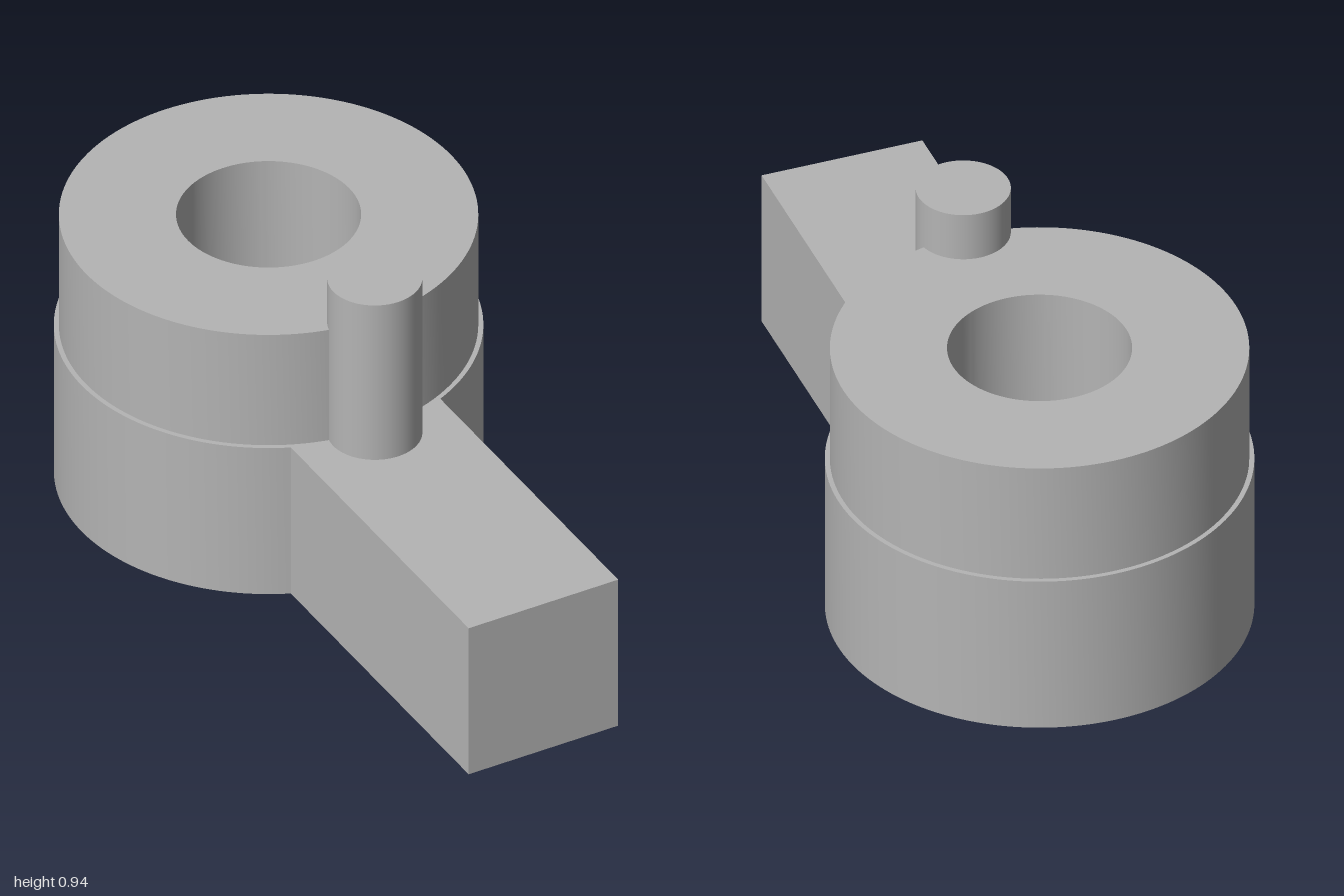
import * as THREE from 'three';
import { toCreasedNormals } from 'three/addons/utils/BufferGeometryUtils.js';

const R_BASE = 0.55, R_COLLAR = 0.537, R_BORE = 0.237;
const ARM_HALF = 0.22, ARM_REACH = 1.429;
const BASE_TOP = 0.457, COLLAR_TOP = 0.802, PIN_TOP = 0.94;

export function createModel() {
  const grey = new THREE.MeshStandardMaterial({ color: 0xb4b4b4 });
  grey.name = 'grey';

  const model = new THREE.Group();
  model.name = 'crank';
  model.position.z = -0.45;
  model.rotation.y = -0.161;

  // Extrudes a plan outline with the bore cut out, standing upright from y0 to y1
  const addBored = (name, shape, y0, y1) => {
    const bore = new THREE.Path();
    bore.absarc(0, 0, R_BORE, 0, Math.PI * 2, true);
    shape.holes.push(bore);
    const geo = new THREE.ExtrudeGeometry(shape, { depth: y1 - y0, bevelEnabled: false, curveSegments: 72 });
    geo.rotateX(-Math.PI / 2);
    const mesh = new THREE.Mesh(toCreasedNormals(geo, 0.15), grey);
    mesh.name = name;
    mesh.position.y = y0;
    model.add(mesh);
  };

  // Hub and straight arm in one outline
  const a = Math.atan2(-Math.sqrt(R_BASE ** 2 - ARM_HALF ** 2), ARM_HALF);
  const plan = new THREE.Shape();
  plan.moveTo(-ARM_HALF, -ARM_REACH);
  plan.lineTo(ARM_HALF, -ARM_REACH);
  plan.absarc(0, 0, R_BASE, a, Math.PI - a, false);
  addBored('hubAndArm', plan, 0, BASE_TOP);

  // Slightly narrower collar on top of the hub
  const ring = new THREE.Shape();
  ring.absarc(0, 0, R_COLLAR, 0, Math.PI * 2, false);
  addBored('collar', ring, BASE_TOP, COLLAR_TOP);

  // Pin where the arm meets the collar
  const pinHeight = PIN_TOP - BASE_TOP;
  const pin = new THREE.Mesh(new THREE.CylinderGeometry(0.122, 0.122, pinHeight, 64), grey);
  pin.name = 'pin';
  pin.position.set(0, BASE_TOP + pinHeight / 2, 0.552);
  model.add(pin);

  const group = new THREE.Group();
  group.add(model);
  return group;
}
